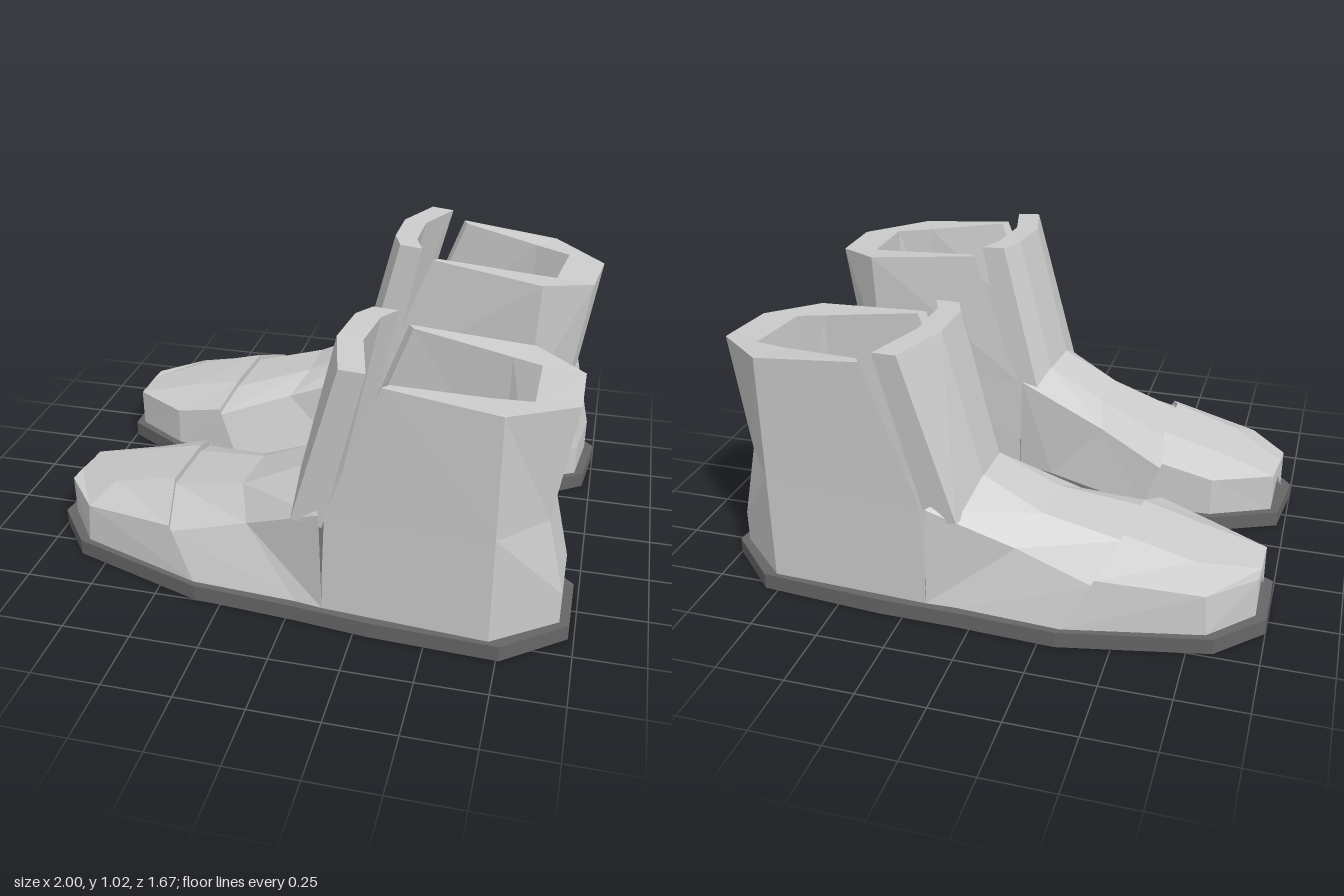
import * as THREE from 'three';

const upperMat = new THREE.MeshStandardMaterial({ color: 0xcccccc, flatShading: true, side: THREE.DoubleSide });
const soleMat = new THREE.MeshStandardMaterial({ color: 0x666666, flatShading: true });

// Skin a list of point rows with quads, skipping collapsed triangles
function skin(rows) {
  const pos = [];
  const tri = (...pts) => {
    const [a, b, c] = pts.map((p) => new THREE.Vector3(...p));
    if (b.clone().sub(a).cross(c.clone().sub(a)).length() < 1e-6) return;
    for (const p of pts) pos.push(...p);
  };
  for (let i = 0; i < rows.length - 1; i++) {
    for (let j = 0; j < rows[i].length - 1; j++) {
      const a = rows[i][j], b = rows[i + 1][j], c = rows[i + 1][j + 1], d = rows[i][j + 1];
      tri(a, d, c);
      tri(a, c, b);
    }
  }
  const g = new THREE.BufferGeometry();
  g.setAttribute('position', new THREE.Float32BufferAttribute(pos, 3));
  g.computeVertexNormals();
  return g;
}

// A row collapsed to its centre, used to close an end
function closed(row) {
  const c = [0, 1, 2].map((k) => row.reduce((s, p) => s + p[k], 0) / row.length);
  return row.map(() => c);
}

function soleGeometry() {
  const outline = [
    [-1, 0.4], [-0.86, 0.58], [-0.35, 0.75], [0.03, 0.78], [0.3, 0.81], [0.76, 0.83], [0.98, 0.66],
    [0.98, 0.42], [0.81, 0.27], [0.28, 0.29], [-0.02, 0.2], [-0.4, 0.03], [-0.72, 0.05], [-0.97, 0.16],
  ];
  const shape = new THREE.Shape(outline.map(([x, z]) => new THREE.Vector2(x, -z)));
  return new THREE.ExtrudeGeometry(shape, { depth: 0.06, bevelEnabled: false }).rotateX(-Math.PI / 2).toNonIndexed();
}

// Cross-sections run from the inner base over the top to the outer base
const capEdge = [[-0.44, 0.06, 0.06], [-0.51, 0.26, 0.07], [-0.49, 0.325, 0.22],
  [-0.5, 0.33, 0.48], [-0.46, 0.25, 0.67], [-0.36, 0.06, 0.725]];
const vampStart = capEdge.map(([x, y, z]) => [x, y > 0.1 ? y - 0.025 : y, z]);

function toeCapGeometry() {
  const tip = [[-0.94, 0.06, 0.18], [-0.94, 0.21, 0.18], [-0.945, 0.21, 0.24],
    [-0.955, 0.21, 0.32], [-0.96, 0.21, 0.39], [-0.96, 0.06, 0.39]];
  const corner = [[-0.71, 0.06, 0.075], [-0.71, 0.21, 0.08], [-0.72, 0.27, 0.21],
    [-0.75, 0.265, 0.45], [-0.82, 0.21, 0.56], [-0.83, 0.06, 0.565]];
  return skin([closed(tip), tip, corner, capEdge, vampStart]);
}

function vampGeometry() {
  return skin([
    vampStart,
    [[-0.02, 0.06, 0.225], [-0.24, 0.31, 0.2], [-0.2, 0.38, 0.33],
      [-0.22, 0.38, 0.53], [-0.17, 0.3, 0.66], [0.03, 0.06, 0.75]],
    [[0.13, 0.06, 0.265], [0.12, 0.445, 0.27], [0.02, 0.485, 0.36],
      [0, 0.49, 0.54], [0.12, 0.445, 0.765], [0.13, 0.06, 0.765]],
  ]);
}

// Tongue: a thick faceted strap leaning back
function tongueGeometry() {
  // z, front x and top height of each rib, from the outer to the inner side
  const ribs = [
    [0.74, 0.035, 0.19, 1.01, 0.78], [0.54, 0, 0.135, 1.02, 0.56],
    [0.36, 0.02, 0.155, 1.02, 0.37], [0.27, 0.07, 0.2, 1.015, 0.29],
  ];
  const rows = ribs.map(([z0, x0, x1, y1, z1]) => [
    [x0 - 0.02, 0.4, z0], [x1, y1, z1], [x1 + 0.09, y1 - 0.005, z1], [x0 + 0.09, 0.38, z0], [x0 - 0.02, 0.4, z0],
  ]);
  return skin([closed(rows[0].slice(0, 4).concat([rows[0][1]])), ...rows, closed(rows[3])]);
}

// Shaft: each column climbs the outside, crosses the rim and drops to the insole
function shaftGeometry() {
  const y = 0.12, centre = [0.5, y, 0.53];
  const columns = [
    [[0.13, 0.06, 0.265], [0.13, 0.18, 0.265], [0.14, 0.45, 0.27], [0.33, 0.965, 0.3],
      [0.35, 0.963, 0.325], [0.16, 0.45, 0.3], [0.16, y, 0.32]],
    [[0.77, 0.06, 0.285], [0.77, 0.18, 0.285], [0.75, 0.47, 0.285], [0.77, 0.925, 0.285],
      [0.7, 0.925, 0.39], [0.69, 0.47, 0.38], [0.69, y, 0.38]],
    [[0.945, 0.06, 0.415], [0.945, 0.18, 0.415], [0.88, 0.47, 0.415], [0.945, 0.905, 0.415],
      [0.8, 0.915, 0.41], [0.78, 0.47, 0.42], [0.78, y, 0.42]],
    [[0.945, 0.06, 0.65], [0.945, 0.18, 0.65], [0.88, 0.47, 0.65], [0.945, 0.905, 0.65],
      [0.8, 0.915, 0.67], [0.78, 0.47, 0.65], [0.78, y, 0.65]],
    [[0.72, 0.06, 0.81], [0.72, 0.18, 0.81], [0.72, 0.47, 0.81], [0.72, 0.925, 0.81],
      [0.66, 0.927, 0.7], [0.65, 0.47, 0.7], [0.65, y, 0.69]],
    [[0.13, 0.06, 0.765], [0.13, 0.18, 0.765], [0.14, 0.45, 0.765], [0.33, 0.965, 0.785],
      [0.35, 0.963, 0.755], [0.16, 0.45, 0.74], [0.16, y, 0.72]],
  ].map((c) => [...c, centre]);
  // Front edges beside the slits, then the hidden wall under the tongue
  const edge = (c) => [c[2], c[2], c[2], c[3], c[4], c[5], c[5], c[5]];
  const first = columns[0], last = columns[5];
  const start = edge(first).map(() => first[2]);
  const end = edge(last).map(() => last[2]);
  const frontWall = (c) => [c[5], c[6], centre];
  return [
    skin(columns), skin([start, edge(first)]), skin([edge(last), end]),
    skin([frontWall(last), frontWall(first)]),
  ];
}

// Mirror the boot and turn it slightly for the other foot
const otherFoot = new THREE.Matrix4().makeScale(1, 1, -1)
  .multiply(new THREE.Matrix4().makeTranslation(0, 0, 0.46))
  .multiply(new THREE.Matrix4().makeRotationY(0.12))
  .multiply(new THREE.Matrix4().makeTranslation(-0.005, 0, -0.41));

function mirrored(g) {
  g.applyMatrix4(otherFoot);
  const p = g.attributes.position;
  const a = new THREE.Vector3(), b = new THREE.Vector3();
  for (let i = 0; i < p.count; i += 3) {
    a.fromBufferAttribute(p, i + 1);
    b.fromBufferAttribute(p, i + 2);
    p.setXYZ(i + 1, b.x, b.y, b.z);
    p.setXYZ(i + 2, a.x, a.y, a.z);
  }
  g.computeVertexNormals();
  return g;
}

function makeBoot(name, mirror) {
  const boot = new THREE.Group();
  boot.name = name;
  const add = (part, geometry, material = upperMat) => {
    const mesh = new THREE.Mesh(mirror ? mirrored(geometry) : geometry, material);
    mesh.name = part;
    boot.add(mesh);
  };
  add('sole', soleGeometry(), soleMat);
  add('toeCap', toeCapGeometry());
  add('vamp', vampGeometry());
  add('tongue', tongueGeometry());
  const names = ['shaft', 'innerSlitEdge', 'outerSlitEdge', 'frontLining'];
  shaftGeometry().forEach((g, i) => add(names[i], g));
  return boot;
}

export function createModel() {
  const model = new THREE.Group();
  model.name = 'bootPair';
  model.add(makeBoot('frontBoot', false), makeBoot('rearBoot', true));
  return model;
}
